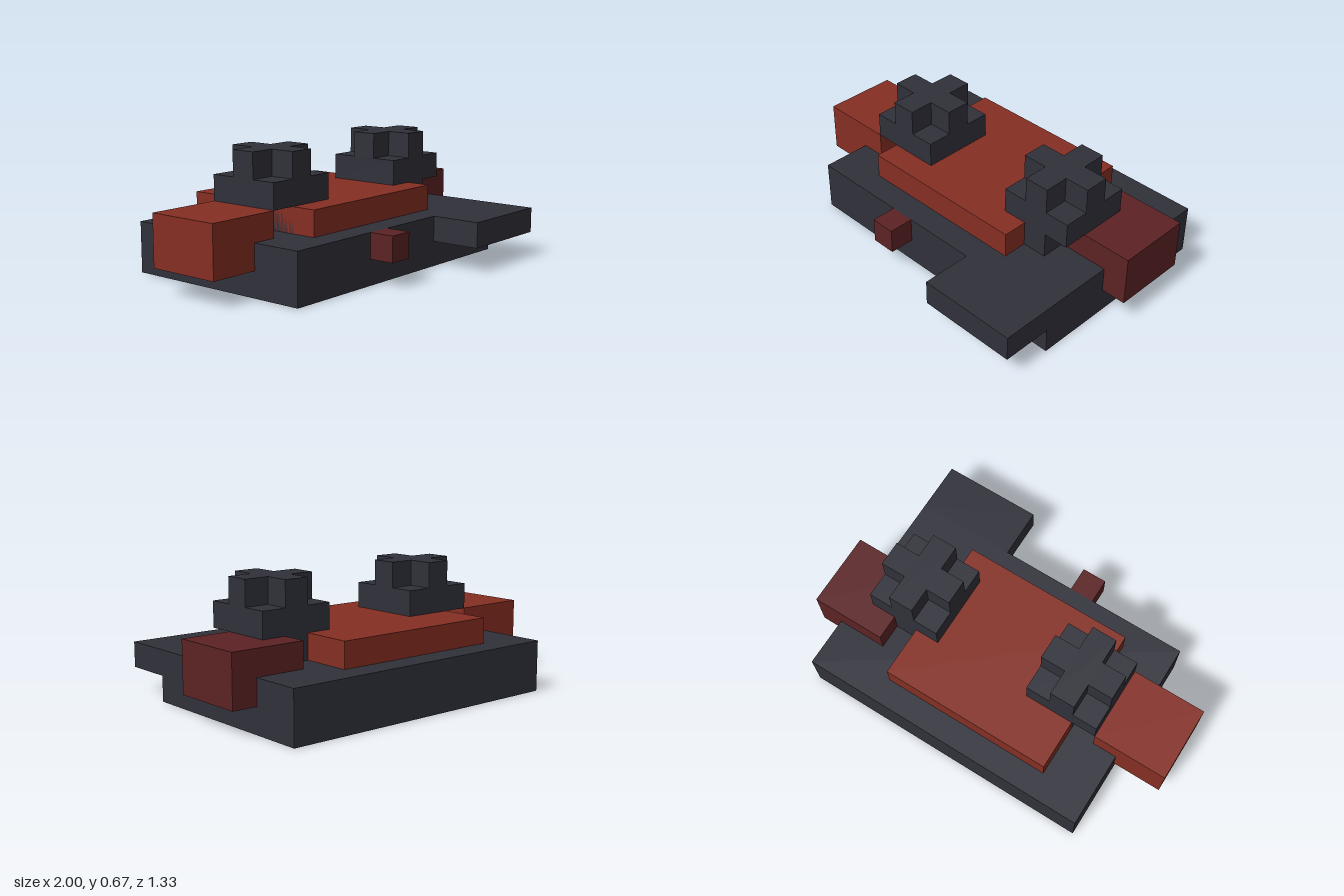
import * as THREE from 'three';

const U = 2 / 15; // one block of the underlying grid

export function createModel() {
  const model = new THREE.Group();
  const material = (name, color) => {
    const m = new THREE.MeshStandardMaterial({ color });
    m.name = name;
    return m;
  };
  const charcoal = material('charcoal', 0x30303a);
  const rust = material('rust', 0x852e23);
  const maroon = material('maroon', 0x5c2224);

  // Box between two corners, given in grid blocks
  const block = (name, mat, [x0, y0, z0], [x1, y1, z1], parent = model) => {
    const geo = new THREE.BoxGeometry((x1 - x0) * U, (y1 - y0) * U, (z1 - z0) * U);
    const mesh = new THREE.Mesh(geo, mat);
    mesh.name = name;
    mesh.position.set(x0 + x1, y0 + y1, z0 + z1).multiplyScalar(U / 2);
    parent.add(mesh);
  };

  // Body
  block('base', charcoal, [-5.5, 0, -5], [6.5, 2, 3]);
  block('frontLedge', charcoal, [2.5, 1, 3], [6.5, 2, 5]);
  block('frontKnob', maroon, [-1.5, 1, 3], [-0.5, 2, 4]);
  block('topSlab', rust, [-3.5, 2, -4], [3.5, 3, 2]);

  // Side boxes
  block('rightSideBox', rust, [-7.5, 1, -2], [-4.5, 3, 1]);
  block('leftSideBox', maroon, [4.5, 1, -3], [7.5, 3, 0]);

  // Towers: a full middle layer between a cross-shaped foot and crown
  for (const [name, x] of [['rightTower', -4.5], ['leftTower', 2.5]]) {
    const tower = new THREE.Group();
    tower.name = name;
    model.add(tower);
    block('middle', charcoal, [x, 3, -2], [x + 3, 4, 1], tower);
    for (const [part, y] of [['foot', 2], ['crown', 4]]) {
      block(part + 'Spine', charcoal, [x + 1, y, -2], [x + 2, y + 1, 1], tower);
      block(part + 'RightArm', charcoal, [x, y, -1], [x + 1, y + 1, 0], tower);
      // the left tower's outer foot arm is buried in the side box
      if (part === 'crown' || x < 0) {
        block(part + 'LeftArm', charcoal, [x + 2, y, -1], [x + 3, y + 1, 0], tower);
      }
    }
  }
  return model;
}
